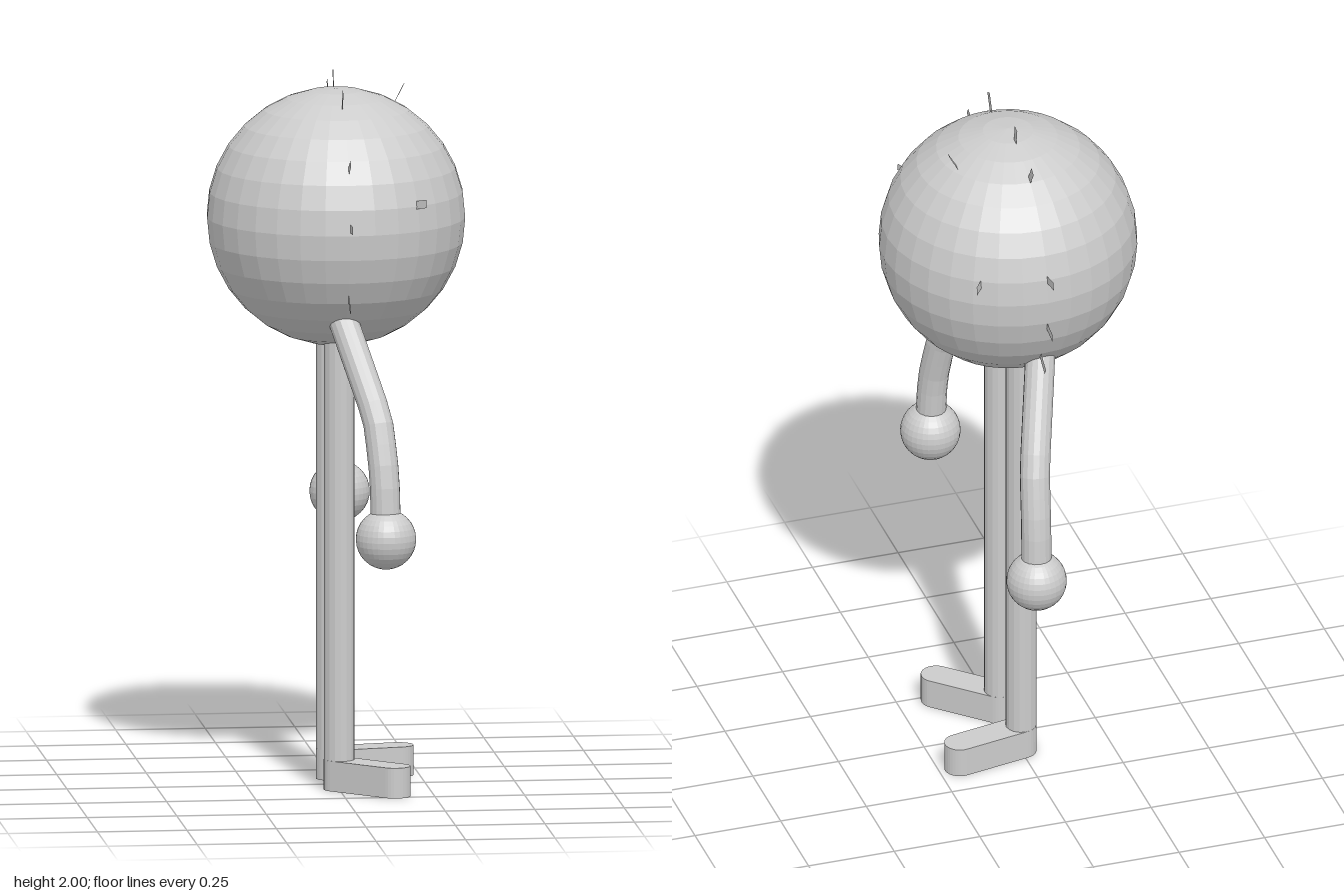
import * as THREE from 'three';

const grey = new THREE.MeshStandardMaterial({ color: 0xcccccc, flatShading: true });
const thin = new THREE.MeshStandardMaterial({ color: 0xcccccc, side: THREE.DoubleSide });
const CENTRE = new THREE.Vector3(0, 1.6, 0.015);
const LIMB = 0.043;

function add(parent, name, geometry, x = 0, y = 0, z = 0, material = grey) {
  const mesh = new THREE.Mesh(geometry, material);
  mesh.name = name;
  mesh.position.set(x, y, z);
  parent.add(mesh);
  return mesh;
}

// Flat foot with round ends, running from the ankle along +x
function footGeometry(length, height) {
  const s = new THREE.Shape();
  s.absarc(length, 0, LIMB, -Math.PI / 2, Math.PI / 2, false);
  s.absarc(0, 0, LIMB, Math.PI / 2, Math.PI * 1.5, false);
  return new THREE.ExtrudeGeometry(s, { depth: height, bevelEnabled: false, curveSegments: 8 })
    .rotateX(-Math.PI / 2);
}

// Thin upright blade from base to tip
function bristleGeometry(base, tip, width) {
  const dir = tip.clone().sub(base);
  const length = dir.length();
  dir.normalize();
  const across = new THREE.Vector3(1, 0, 0).cross(dir).normalize();
  const normal = across.clone().cross(dir);
  const mid = base.clone().add(tip).multiplyScalar(0.5);
  return new THREE.PlaneGeometry(width, length)
    .applyMatrix4(new THREE.Matrix4().makeBasis(across, dir, normal).setPosition(mid));
}

export function createModel() {
  const model = new THREE.Group();
  model.name = 'roundFigure';

  // Ball body
  add(model, 'body', new THREE.SphereGeometry(0.36, 32, 16), ...CENTRE.toArray());

  // Legs and turned-out feet
  for (const [side, z, turn] of [['near', 0.093, 0.76], ['far', -0.101, 0.19]]) {
    const leg = new THREE.Group();
    leg.name = side + 'Leg';
    leg.position.z = z;
    add(leg, side + 'Shin', new THREE.CylinderGeometry(LIMB, LIMB, 1.27, 16), 0, 0.675, 0);
    const foot = add(leg, side + 'Foot', footGeometry(0.194, 0.085));
    // the far foot turns the other way
    foot.rotation.y = side === 'near' ? -turn : turn;
    model.add(leg);
  }

  // Bent arms ending in ball hands
  const arms = {
    near: [[-0.03, 1.42, 0.19], [0.005, 1.31, 0.25], [0.075, 1.085, 0.37], [0.09, 0.93, 0.412], [0.093, 0.78, 0.425]],
    far: [[-0.03, 1.42, -0.19], [-0.005, 1.31, -0.25], [0.047, 1.085, -0.37], [0.057, 0.93, -0.412], [0.06, 0.78, -0.425]],
  };
  for (const [side, points] of Object.entries(arms)) {
    const path = new THREE.CatmullRomCurve3(
      points.map((p) => new THREE.Vector3(...p)), false, 'catmullrom', 0.15);
    add(model, side + 'Arm', new THREE.TubeGeometry(path, 12, 0.042, 16));
    const [x, , z] = points[4];
    add(model, side + 'Hand', new THREE.SphereGeometry(0.084, 32, 16), x, 0.755, z);
  }

  // Bristles: tip positions, rooted just under the skin
  const tips = [
    [0, 1.975, 0.19], [0, 2.0, -0.057], [0, 1.947, -0.205], [0, 1.805, 0.378],
    [0, 1.624, 0.43], [0, 1.386, 0.378], [0, 1.683, -0.394], [0, 1.508, -0.384],
    [0, 1.36, -0.32], [0.2, 1.957, -0.067], [0.215, 1.683, 0.345], [0.205, 1.672, -0.336],
  ];
  for (const t of tips) {
    const tip = new THREE.Vector3(...t);
    const base = tip.clone().sub(CENTRE).setLength(0.345).add(CENTRE);
    add(model, 'bristle', bristleGeometry(base, tip, 0.023), 0, 0, 0, thin);
  }
  return model;
}
